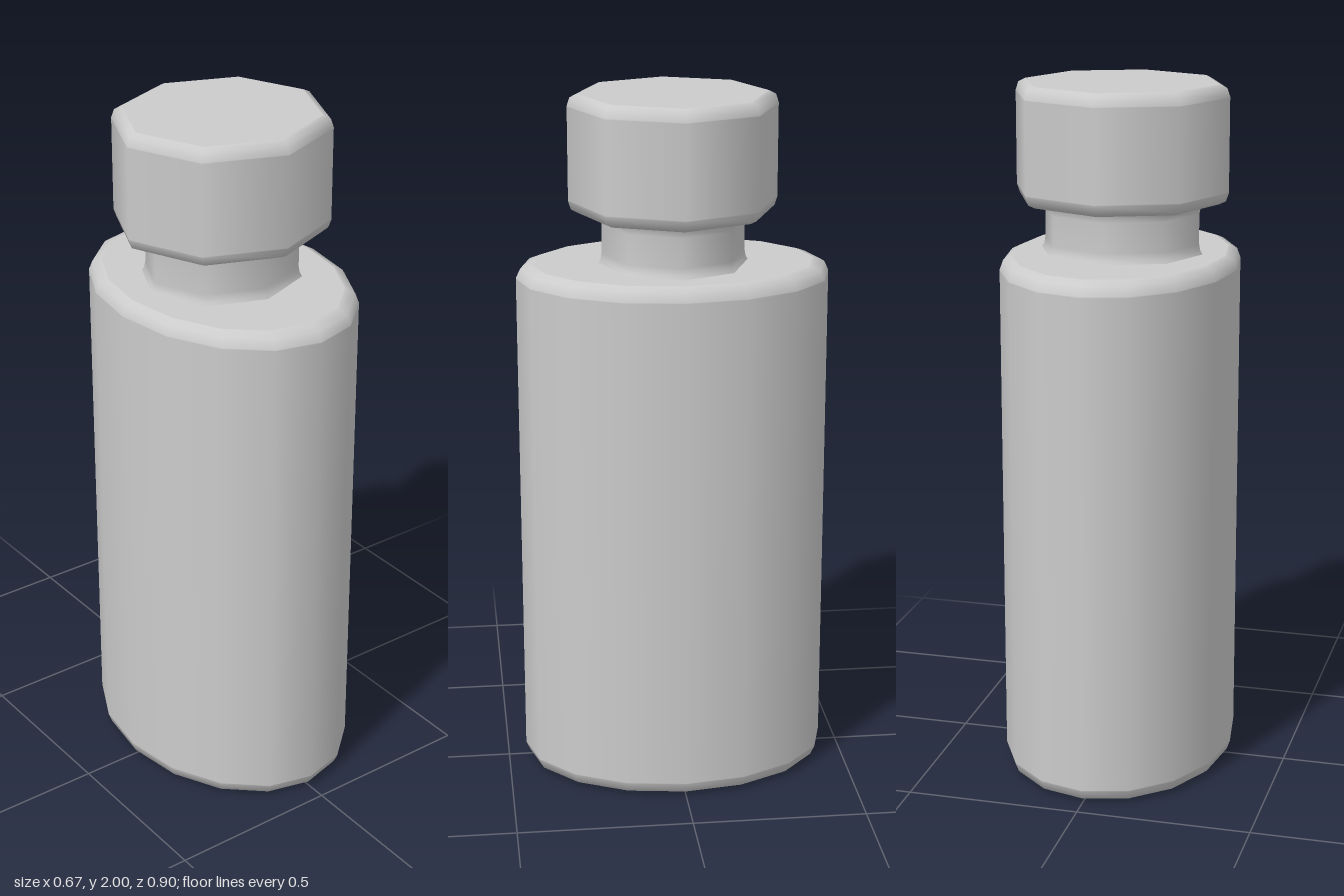
import * as THREE from 'three';

// Smooth faceted turned part, squashed into an ellipse (rx, rz).
// profile: [inset from the outer radius, height], bottom to top; null = axis
function turned(name, profile, sides, rx, rz) {
  const points = profile.map(([inset, y]) => new THREE.Vector2(inset === null ? 0 : rx - inset, y));
  const geometry = new THREE.LatheGeometry(points, sides);
  geometry.scale(1, 1, rz / rx);
  const mesh = new THREE.Mesh(geometry, new THREE.MeshStandardMaterial({ color: 0xcccccc }));
  mesh.name = name;
  return mesh;
}

// Solid block with rounded rims, closed at both ends
function roundedProfile(bottom, top, r) {
  const rim = [[r * 1.1, 0], [r, 0], [r * 0.3, r * 0.35], [0, r * 1.2], [0, r * 1.3]];
  return [
    [null, bottom],
    ...rim.map(([inset, h]) => [inset, bottom + h]),
    ...rim.slice().reverse().map(([inset, h]) => [inset, top - h]),
    [null, top],
  ];
}

export function createModel() {
  const model = new THREE.Group();
  model.name = 'bottle';

  // Oval body
  model.add(turned('body', roundedProfile(0, 1.52, 0.032), 16, 0.336, 0.448));

  // Octagonal neck, flaring slightly into the body and cap
  model.add(turned('neck', [
    [-0.014, 1.515], [-0.004, 1.53], [0, 1.55], [0, 1.635], [-0.004, 1.655], [-0.014, 1.67],
  ], 8, 0.226, 0.204));

  // Octagonal cap
  model.add(turned('cap', roundedProfile(1.665, 2, 0.028), 8, 0.31, 0.297));

  return model;
}
